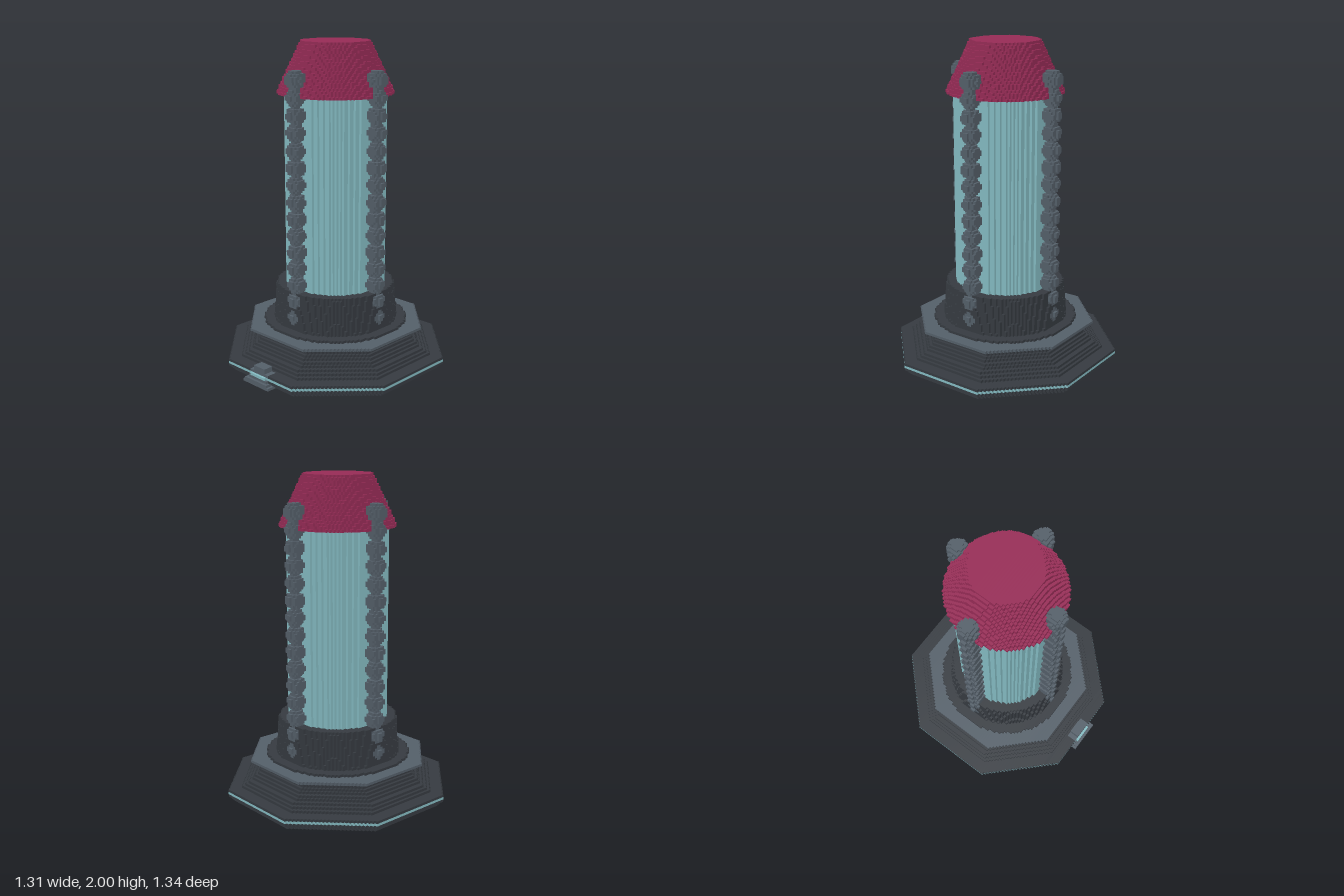
import * as THREE from 'three';

// Block-built tower: each part is a solid test, sampled on a grid of small cubes.
const H = 1 / 64;              // cube edge
const N = [92, 130, 92];       // grid size, with an empty margin
const O = [46, 1, 46];         // grid cell of the origin

const mat = (name, color) => {
  const m = new THREE.MeshStandardMaterial({ color });
  m.name = name;
  return m;
};

const octagon = (x, z) => Math.max(Math.abs(x), Math.abs(z), (Math.abs(x) + Math.abs(z)) * Math.SQRT1_2);
const lerp = THREE.MathUtils.lerp;

// Bead strings: four vertical chains around the column
const BEAD_R = 0.335, FIRST = 0.342, PITCH = 0.1035, COUNT = 15;
function beads(x, y, z) {
  const ax = Math.abs(x), az = Math.abs(z);
  const d = Math.hypot(Math.max(ax, az) - BEAD_R, Math.min(ax, az));
  if (d > 0.07) return false;
  const i = THREE.MathUtils.clamp(Math.round((y - FIRST) / PITCH), 0, COUNT - 1);
  const size = i === COUNT - 1 ? 0.058 : 0.053;
  const onCord = d < 0.02 && y > FIRST && y < FIRST + PITCH * (COUNT - 1);
  return onCord || Math.hypot(d, y - FIRST - i * PITCH) < size;
}

// Front clasp: stepped foot below the stripe and a small tab above it
const FOOT = [[7, 44], [6, 44], [5, 43], null, [5, 42], [3.5, 42], [3, 42]]; // half width, front edge per layer
function clasp(x, y, z, layer) {
  const s = FOOT[layer];
  return !!s && z > 0.6 && Math.abs(x) < s[0] * H && z < s[1] * H;
}

// Bottom slab edge radius per layer
const SLAB = [0.62, 0.635, 0.655, 0.655, 0.655];

function buildParts() {
  const dark = mat('charcoal', 0x363b41);
  const grey = mat('slate grey', 0x55606a);
  const cyan = mat('pale cyan', 0x85bcc3);
  const pink = mat('crimson', 0x982c57);
  // Earlier parts win where two overlap
  return [
    ['beadStrings', grey, beads],
    ['frontClasp', grey, clasp],
    ['baseStripe', cyan, (x, y, z, l) => l === 3 &&
      (octagon(x, z) < 0.655 || (Math.abs(x) < 4 * H && z > 0 && z < 43 * H))],
    ['baseSlab', dark, (x, y, z, l) => l < 5 && octagon(x, z) < SLAB[l]],
    ['flaredPlinth', dark, (x, y, z, l) => l > 4 && l < 14 &&
      octagon(x, z) < 0.455 + 0.13 * Math.pow(1 - (l - 5) / 8, 1.5)],
    ['plinthTop', grey, (x, y, z, l) => (l === 14 || l === 15) && octagon(x, z) < (l === 15 ? 0.52 : 0.49)],
    ['collarRing', dark, (x, y, z, l) => l === 16 && Math.hypot(x, z) < 0.445],
    ['collar', dark, (x, y, z, l) => l > 16 && l < 32 &&
      Math.hypot(x, z) < lerp(0.382, 0.364, (l - 17) / 14)],
    ['column', cyan, (x, y, z, l) => l > 31 && l < 108 && Math.hypot(x, z) < 0.302],
    ['taperedCap', pink, (x, y, z, l) => l > 107 && l < 128 &&
      Math.hypot(x, z) < lerp(0.348, 0.208, (l - 108) / 19)],
  ];
}

export function createModel() {
  const group = new THREE.Group();
  group.name = 'tower';
  const parts = buildParts();

  // Fill the grid with part numbers (0 is empty)
  const cells = new Uint8Array(N[0] * N[1] * N[2]);
  const at = (c) => (c[1] * N[2] + c[2]) * N[0] + c[0];
  for (let j = 1; j < N[1] - 1; j++)
    for (let k = 1; k < N[2] - 1; k++)
      for (let i = 1; i < N[0] - 1; i++) {
        const x = (i - O[0] + 0.5) * H, y = (j - O[1] + 0.5) * H, z = (k - O[2] + 0.5) * H;
        cells[at([i, j, k])] = parts.findIndex((p) => p[2](x, y, z, j - O[1])) + 1;
      }

  // Collect the exposed cube faces, joined into strips along one axis
  const positions = parts.map(() => []);
  for (let d = 0; d < 3; d++) {
    const r = d === 1 ? 0 : 1, o = 3 - d - r;
    const cyclic = r === (d + 1) % 3;
    for (const side of [-1, 1]) {
      const exposed = (c) => {
        const id = cells[at(c)];
        if (!id) return 0;
        const n = [...c];
        n[d] += side;
        return cells[at(n)] ? 0 : id;
      };
      const c = [0, 0, 0];
      for (c[d] = 1; c[d] < N[d] - 1; c[d]++)
        for (c[o] = 1; c[o] < N[o] - 1; c[o]++) {
          let run = 0, start = 0;
          for (c[r] = 1; c[r] < N[r]; c[r]++) {
            const id = c[r] < N[r] - 1 ? exposed(c) : 0;
            if (id === run) continue;
            if (run) {
              const corner = (a, b) => {
                const p = [0, 0, 0];
                p[d] = c[d] + (side > 0 ? 1 : 0);
                p[r] = a ? c[r] : start;
                p[o] = c[o] + b;
                return p.map((v, q) => (v - O[q]) * H);
              };
              const q = [corner(0, 0), corner(1, 0), corner(1, 1), corner(0, 1)];
              if (cyclic !== side > 0) q.reverse();
              for (const n of [0, 1, 2, 0, 2, 3]) positions[run - 1].push(...q[n]);
            }
            run = id;
            start = c[r];
          }
        }
    }
  }

  parts.forEach(([name, material], i) => {
    const geometry = new THREE.BufferGeometry();
    geometry.setAttribute('position', new THREE.Float32BufferAttribute(positions[i], 3));
    geometry.computeVertexNormals();
    const mesh = new THREE.Mesh(geometry, material);
    mesh.name = name;
    mesh.position.z = -H; // the clasp at the front shifts the centre
    group.add(mesh);
  });
  return group;
}
